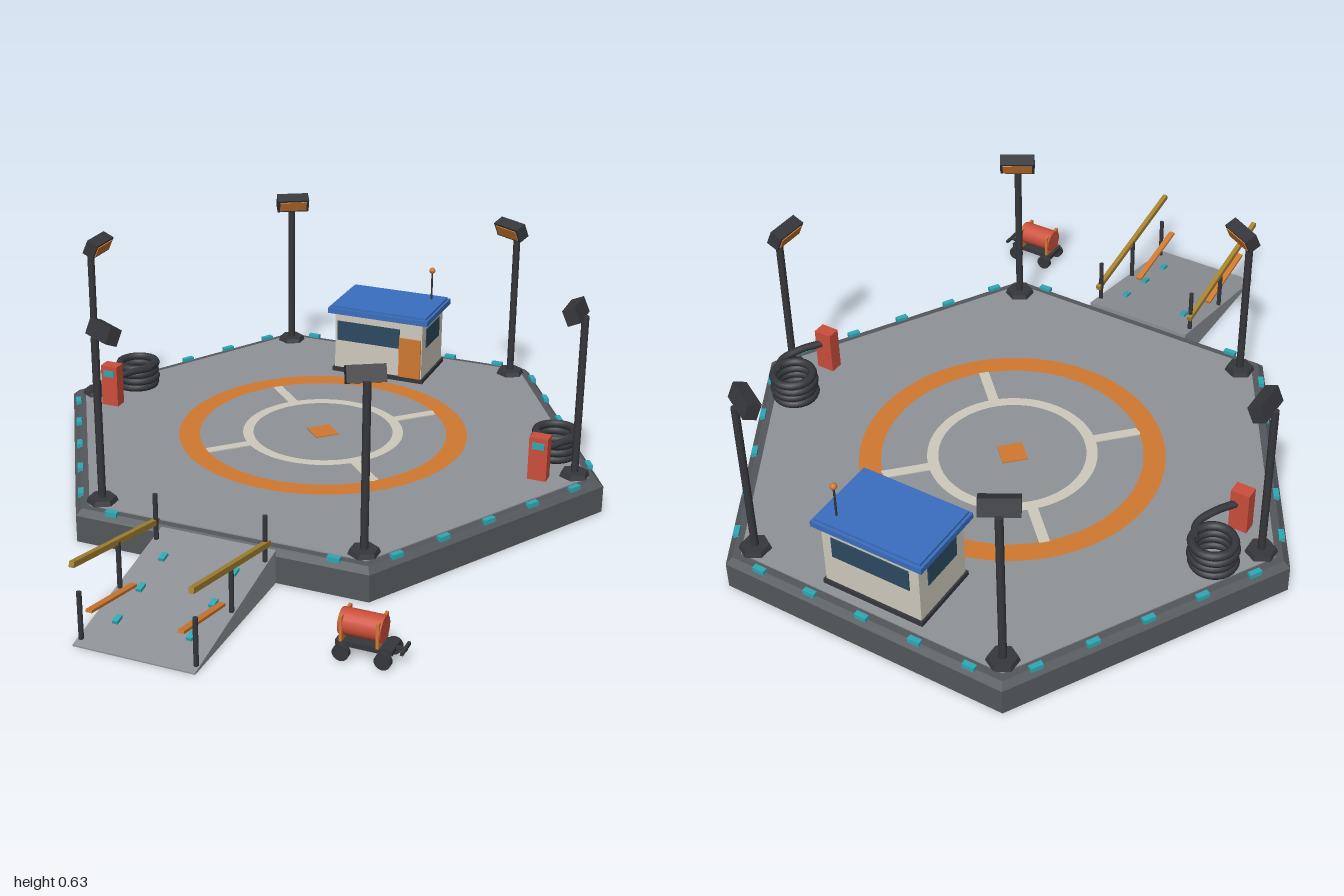
import * as THREE from 'three';

const mat = (name, color) => Object.assign(new THREE.MeshStandardMaterial({ color }), { name });
const M = {
  hull: mat('hull grey', 0x54585c), deck: mat('deck grey', 0x8f9397), dark: mat('dark metal', 0x36373c),
  orange: mat('orange', 0xd07a30), cream: mat('cream', 0xcfcabd), blue: mat('roof blue', 0x3a6fc0),
  red: mat('red', 0xcc4f3c), teal: mat('teal', 0x2fa9b5), brass: mat('brass', 0xa88432), glass: mat('glass', 0x2c4a60),
};
const CZ = -0.245, TOP = 0.1; // pad centre and deck height

export function createModel() {
  const root = new THREE.Group();
  root.name = 'landingPad';

  const add = (name, geo, material, x = 0, y = 0, z = 0, parent = root) => {
    const m = new THREE.Mesh(geo, material);
    m.name = name;
    m.position.set(x, y, z);
    parent.add(m);
    return m;
  };
  const box = (name, w, h, d, material, x, y, z, parent) =>
    add(name, new THREE.BoxGeometry(w, h, d), material, x, y, z, parent);
  const cyl = (name, r, h, seg, material, x, y, z, parent) =>
    add(name, new THREE.CylinderGeometry(r, r, h, seg), material, x, y, z, parent);
  const group = (name, x = 0, y = 0, z = 0, parent = root) => {
    const g = new THREE.Group();
    g.name = name;
    g.position.set(x, y, z);
    parent.add(g);
    return g;
  };
  // six-sided prism with a corner on +x and hard edges
  const hex = (rTop, rBottom, h) => {
    const g = new THREE.CylinderGeometry(rTop, rBottom, h, 6).rotateY(Math.PI / 6).toNonIndexed();
    g.computeVertexNormals();
    return g;
  };
  // square bar between two points
  const bar = (name, a, b, w, h, material, parent) => {
    const p = new THREE.Vector3(...a), q = new THREE.Vector3(...b);
    const m = new THREE.Mesh(new THREE.BoxGeometry(w, h, p.distanceTo(q)), material);
    m.name = name;
    m.position.copy(p).lerp(q, 0.5);
    m.lookAt(q);
    parent.add(m);
  };

  // platform
  add('hull', hex(0.87, 0.87, 0.08), M.hull, 0, 0.04, CZ);
  add('hullBevel', hex(0.85, 0.87, 0.017), M.hull, 0, 0.0885, CZ);
  add('deck', hex(0.825, 0.825, 0.01), M.deck, 0, TOP - 0.005, CZ);

  // deck markings
  const marks = group('deckMarkings', 0, TOP + 0.003, CZ);
  const ring = (name, ri, ro, material) =>
    add(name, new THREE.RingGeometry(ri, ro, 64).rotateX(-Math.PI / 2), material, 0, 0, 0, marks);
  ring('outerRing', 0.375, 0.438, M.orange);
  ring('innerRing', 0.212, 0.244, M.cream);
  for (let i = 0; i < 4; i++) {
    const a = Math.PI / 4 + i * Math.PI / 2;
    box('spoke', 0.136, 0.004, 0.03, M.cream, Math.cos(a) * 0.31, -0.002, Math.sin(a) * 0.31, marks).rotation.y = -a;
  }
  box('centreDiamond', 0.074, 0.004, 0.074, M.orange, 0, -0.002, 0, marks).rotation.y = Math.PI / 4;

  // edge markers, five to a side, leaving the ramp opening free
  for (let side = 0; side < 6; side++) {
    const edge = group('edgeMarkers', 0, 0, CZ);
    edge.rotation.y = side * Math.PI / 3;
    for (let i = -2; i <= 2; i++) {
      if (side === 0 && Math.abs(i) < 2) continue;
      box('edgeMarker', 0.036, 0.014, 0.016, M.teal, i * 0.165, 0.1, 0.738, edge);
    }
  }

  // floodlight masts at the corners, heads pitched towards the centre
  for (let i = 0; i < 6; i++) {
    const a = i * Math.PI / 3;
    const mast = group('floodlight', Math.cos(a) * 0.783, TOP, CZ + Math.sin(a) * 0.783);
    mast.rotation.y = -Math.PI / 2 - a;
    add('mastFoot', hex(0.04, 0.045, 0.014), M.dark, 0, 0.007, 0, mast);
    cyl('mast', 0.011, 0.49, 10, M.dark, 0, 0.245, 0, mast);
    const head = group('lampHead', 0, 0.5, 0.028, mast);
    head.rotation.x = 0.42;
    box('lampHousing', 0.104, 0.047, 0.038, M.dark, 0, 0, 0, head);
    box('lampLens', 0.088, 0.034, 0.004, M.orange, 0, 0, 0.02, head);
  }

  // fuel pumps with coiled hoses
  for (const x of [-0.692, 0.692]) {
    const pump = group('fuelPump', x, TOP, CZ);
    box('pumpBody', 0.055, 0.132, 0.04, M.red, 0, 0.068, 0.06, pump);
    box('pumpScreen', 0.036, 0.02, 0.004, M.teal, 0, 0.109, 0.081, pump);
    for (let i = 0; i < 4; i++) {
      const coil = new THREE.TorusGeometry(0.058, 0.0125, 8, 28).rotateX(Math.PI / 2);
      add('hoseCoil', coil, M.dark, (i % 2) * 0.004, 0.0135 + i * 0.022, -0.105, pump);
    }
    const path = new THREE.CatmullRomCurve3([
      [0.05, 0.08, -0.125], [0.07, 0.085, -0.07], [0.045, 0.092, -0.01], [0.012, 0.09, 0.045],
    ].map(p => new THREE.Vector3(...p)));
    add('hose', new THREE.TubeGeometry(path, 16, 0.011, 8), M.dark, 0, 0, 0, pump);
  }

  // control cabin
  const cabin = group('cabin', 0, TOP, -0.825);
  box('plinth', 0.312, 0.014, 0.218, M.dark, 0, 0.007, 0, cabin);
  box('walls', 0.3, 0.195, 0.205, M.cream, 0, 0.11, 0, cabin);
  box('frontWindow', 0.215, 0.066, 0.006, M.glass, -0.034, 0.143, 0.103, cabin);
  box('backWindow', 0.24, 0.066, 0.006, M.glass, 0, 0.143, -0.103, cabin);
  for (const s of [-1, 1]) box('sideWindow', 0.006, 0.066, 0.13, M.glass, s * 0.15, 0.143, 0, cabin);
  box('door', 0.074, 0.134, 0.008, M.orange, 0.11, 0.081, 0.104, cabin);
  box('roof', 0.342, 0.018, 0.238, M.blue, 0, 0.213, 0, cabin);
  box('roofCap', 0.326, 0.008, 0.222, M.blue, 0, 0.225, 0, cabin);
  cyl('antenna', 0.003, 0.1, 6, M.dark, 0.12, 0.275, -0.072, cabin);
  add('beacon', new THREE.SphereGeometry(0.01, 10, 8), M.orange, 0.12, 0.328, -0.072, cabin);

  // access ramp
  const ramp = group('ramp');
  const profile = new THREE.Shape([[0.505, 0], [1, 0], [1, 0.004], [0.505, 0.098]].map(p => new THREE.Vector2(...p)));
  const wedge = new THREE.ExtrudeGeometry(profile, { depth: 0.34, bevelEnabled: false });
  add('rampWedge', wedge.translate(0, 0, -0.17).rotateY(-Math.PI / 2), M.deck, 0, 0, 0, ramp);
  const rampY = z => 0.004 + (1 - z) * 0.19;
  for (const s of [-1, 1]) {
    for (const z of [0.555, 0.765, 0.972])
      cyl('railPost', 0.007, 0.135, 8, M.dark, s * 0.16, rampY(z) + 0.066, z, ramp);
    bar('handrail', [s * 0.163, 0.135, 0.54], [s * 0.163, 0.23, 0.995], 0.014, 0.016, M.brass, ramp);
    bar('guideBar', [s * 0.127, 0.055, 0.75], [s * 0.127, 0.102, 0.985], 0.018, 0.008, M.orange, ramp);
    for (const z of [0.625, 0.755, 0.885])
      box('rampMarker', 0.016, 0.012, 0.028, M.teal, s * 0.104, rampY(z) + 0.003, z, ramp).rotation.x = 0.188;
  }

  // fuel cart
  const cart = group('fuelCart', 0.52, 0, 0.756);
  box('chassis', 0.15, 0.014, 0.062, M.dark, 0.005, 0.041, 0, cart);
  cyl('tank', 0.035, 0.114, 20, M.red, -0.007, 0.088, 0, cart).rotation.z = Math.PI / 2;
  for (const x of [-0.055, 0.042]) box('tankSaddle', 0.008, 0.07, 0.072, M.orange, x, 0.083, 0, cart);
  for (const x of [-0.05, 0.06]) {
    cyl('axle', 0.005, 0.08, 8, M.dark, x, 0.022, 0, cart).rotation.x = Math.PI / 2;
    for (const z of [-0.04, 0.04]) cyl('wheel', 0.022, 0.016, 14, M.dark, x, 0.022, z, cart).rotation.x = Math.PI / 2;
  }
  box('towBar', 0.035, 0.008, 0.01, M.dark, 0.09, 0.043, 0, cart);
  box('towHandle', 0.008, 0.008, 0.06, M.dark, 0.103, 0.045, 0, cart);

  return root;
}
